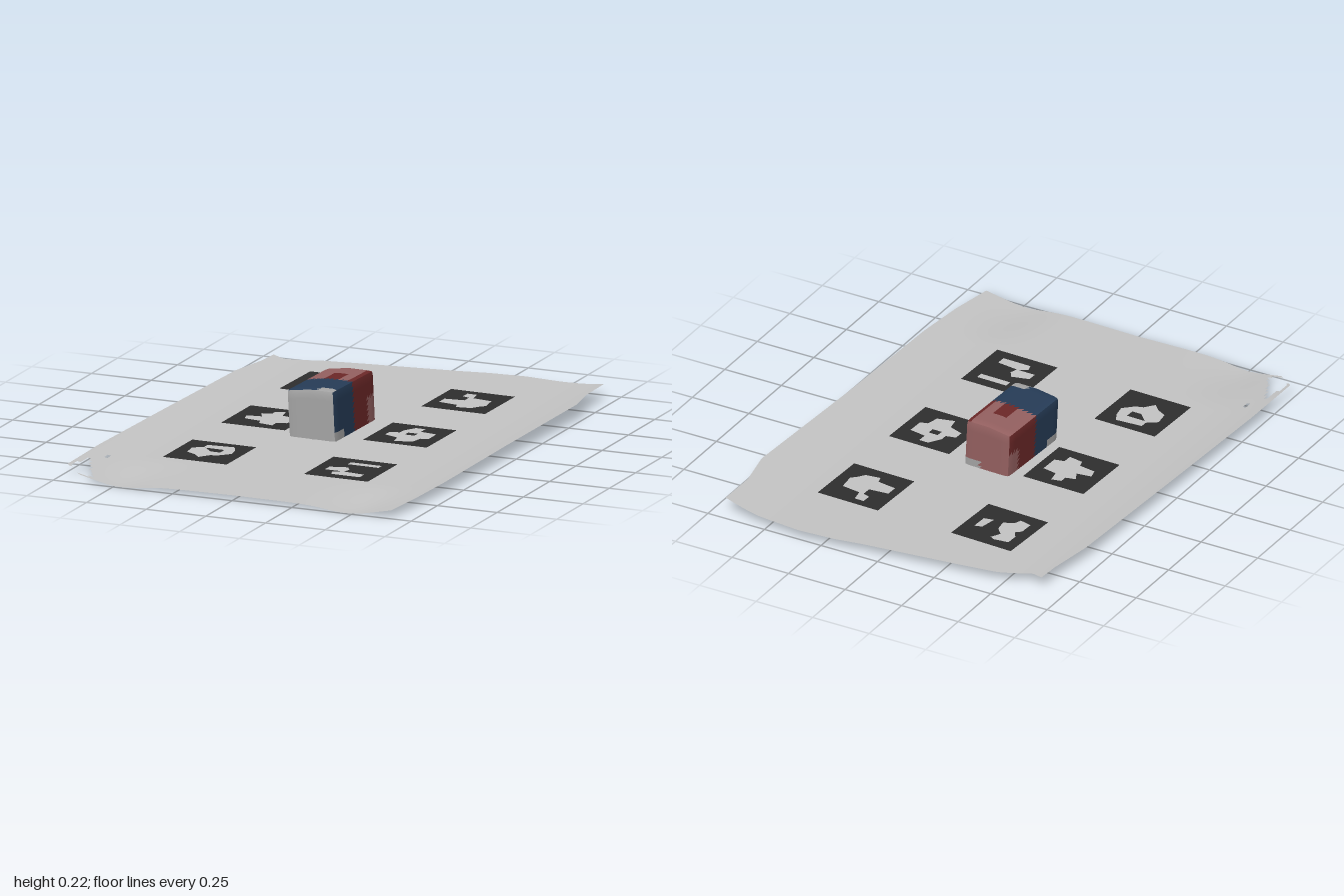
import * as THREE from 'three';

const flat = (name, color) => {
  const m = new THREE.MeshStandardMaterial({ color, side: THREE.DoubleSide });
  m.name = name;
  return m;
};

// Piecewise linear lookup through [key, value] pairs
function along(points, t) {
  for (let i = 1; i < points.length; i++) {
    const [a, va] = points[i - 1], [b, vb] = points[i];
    if (t <= b || i === points.length - 1) {
      return THREE.MathUtils.lerp(va, vb, THREE.MathUtils.clamp((t - a) / (b - a), 0, 1));
    }
  }
}

// Outline of the paper sheet
const LEFT = [[-0.96, -0.65], [-0.86, -0.655], [-0.66, -0.685], [0, -0.71], [0.6, -0.73], [0.92, -0.73], [0.99, -0.65]];
const RIGHT = [[-0.96, 0.70], [-0.79, 0.70], [-0.63, 0.73], [0, 0.71], [0.58, 0.70], [0.8, 0.685], [0.99, 0.66]];
const BACK = [[-0.65, -0.87], [-0.6, -0.85], [-0.47, -0.9], [-0.29, -0.925], [0.08, -0.97], [0.2, -0.99], [0.35, -1], [0.55, -0.98], [0.7, -0.95]];
const FRONT = [[-0.66, 0.975], [-0.4, 0.995], [0, 0.985], [0.4, 0.995], [0.66, 0.985]];

// Gentle sag and raised long edges of the paper
function paperHeight(x, z) {
  const edge = Math.max(0, Math.abs(x) - 0.48) / 0.25;
  const dip = Math.exp(-(((Math.abs(x) - 0.48) / 0.12) ** 2)) * THREE.MathUtils.smoothstep(z, 0.62, 0.98);
  return 0.028 - 0.011 * z + 0.027 * edge * edge - 0.017 * dip;
}

const BOX = { x: -0.04, z: -0.045, w: 0.2, d: 0.36, bottom: 0.02, h: 0.205, turn: -0.035 };

// Torn corner of the sheet
const TEAR = [[-0.705, 0.755], [-0.605, 0.96], [-0.655, 0.965], [-0.712, 0.925]];
function insideTear(x, z) {
  let inside = false;
  TEAR.forEach(([xa, za], i) => {
    const [xb, zb] = TEAR[(i + 1) % TEAR.length];
    if ((za > z) !== (zb > z) && x < xa + (xb - xa) * (z - za) / (zb - za)) inside = !inside;
  });
  return inside;
}

function isCutOut(x, z) {
  const underBox = Math.abs(x - BOX.x) < BOX.w / 2 - 0.004 && Math.abs(z - BOX.z) < BOX.d / 2 - 0.004;
  const smallHole = Math.hypot(x + 0.65, z - 0.705) < 0.012;
  return underBox || smallHole || insideTear(x, z);
}

function sheetGeometry(nx = 100, nz = 160) {
  const positions = [], index = [];
  for (let j = 0; j <= nz; j++) {
    const v = j / nz, row = THREE.MathUtils.lerp(-0.96, 0.99, v);
    for (let i = 0; i <= nx; i++) {
      const x = THREE.MathUtils.lerp(along(LEFT, row), along(RIGHT, row), i / nx);
      const z = THREE.MathUtils.lerp(along(BACK, x), along(FRONT, x), v);
      positions.push(x, paperHeight(x, z), z);
    }
  }
  for (let j = 0; j < nz; j++) {
    for (let i = 0; i < nx; i++) {
      const a = j * (nx + 1) + i, b = a + 1, c = a + nx + 1, d = c + 1;
      const x = (positions[a * 3] + positions[d * 3]) / 2;
      const z = (positions[a * 3 + 2] + positions[d * 3 + 2]) / 2;
      if (!isCutOut(x, z)) index.push(a, c, b, b, c, d);
    }
  }
  const g = new THREE.BufferGeometry();
  g.setAttribute('position', new THREE.Float32BufferAttribute(positions, 3));
  g.setIndex(index);
  g.computeVertexNormals();
  return g;
}

// Printed square; cutouts and islands are corner lists in hundredths of a unit
const toPoints = list => list.map(([x, z]) => new THREE.Vector2(x / 100, -z / 100));
function addMarker(group, material, x, z, turn, cutouts, islands = []) {
  const s = 13.5;
  const square = new THREE.Shape(toPoints([[-s, -s], [s, -s], [s, s], [-s, s]]));
  square.holes = cutouts.map(c => new THREE.Path(toPoints(c)));
  const shapes = [square, ...islands.map(i => new THREE.Shape(toPoints(i)))];
  for (const side of [1, -1]) {
    const g = new THREE.ShapeGeometry(shapes);
    g.rotateX(-Math.PI / 2).rotateY(-turn).translate(x, 0, z);
    const p = g.attributes.position;
    for (let i = 0; i < p.count; i++) p.setY(i, paperHeight(p.getX(i), p.getZ(i)) + side * 0.003);
    g.computeVertexNormals();
    const mesh = new THREE.Mesh(g, material);
    mesh.name = side > 0 ? 'markerTop' : 'markerUnderside';
    group.add(mesh);
  }
}

// Colour of a box triangle from its centre and the direction it faces
function boxColour(c, n) {
  const low = c.y < -0.06;
  if (n.z > 0.7) return 'grey';
  if (n.z < -0.7) return low && c.x > 0.03 ? 'grey' : 'pink';
  if (n.y > 0.7) {
    if (c.z > 0.01) return c.z > 0.14 && c.x > 0.03 ? 'grey' : 'blue';
    const darkPatch = (c.x > -0.02 && c.x < 0.045 && c.z > -0.075) || c.x > 0.075;
    return darkPatch ? 'red' : 'pink';
  }
  if (c.z > 0.01) return low && c.z > 0.1 ? 'grey' : 'blue';
  return c.z < -0.11 && c.y < 0.01 ? 'pink' : 'red';
}

// Open-bottomed block with softened edges, split into one mesh per colour
function addBox(group, materials) {
  const { w, h, d } = BOX, r = 0.014;
  const g = new THREE.BoxGeometry(w, h, d, 10, 10, 18);
  const bottom = g.groups[3];
  const kept = Array.from(g.index.array).filter((_, i) => i < bottom.start || i >= bottom.start + bottom.count);
  g.setIndex(kept);
  const p = g.attributes.position, v = new THREE.Vector3(), core = new THREE.Vector3();
  const low = new THREE.Vector3(-w / 2 + r, -h, -d / 2 + r);
  const high = new THREE.Vector3(w / 2 - r, h / 2 - r, d / 2 - r);
  for (let i = 0; i < p.count; i++) {
    v.fromBufferAttribute(p, i);
    core.copy(v).clamp(low, high);
    v.sub(core).setLength(r).add(core);
    p.setXYZ(i, v.x, v.y, v.z);
  }
  g.computeVertexNormals();

  const flatG = g.toNonIndexed(), fp = flatG.attributes.position, fn = flatG.attributes.normal;
  const parts = {};
  const tri = new THREE.Triangle(), centre = new THREE.Vector3(), normal = new THREE.Vector3();
  for (let i = 0; i < fp.count; i += 3) {
    tri.setFromAttributeAndIndices(fp, i, i + 1, i + 2);
    tri.getMidpoint(centre);
    tri.getNormal(normal);
    const part = (parts[boxColour(centre, normal)] ??= { position: [], normal: [] });
    for (let k = i; k < i + 3; k++) {
      // Lean to the left, with a slightly lower left edge
      const t = fp.getY(k) / h + 0.5, x = fp.getX(k);
      part.position.push(x - 0.01 * t, fp.getY(k) - 0.014 * t * Math.max(0, -x / (w / 2)), fp.getZ(k));
      part.normal.push(fn.getX(k), fn.getY(k), fn.getZ(k));
    }
  }
  for (const [colour, data] of Object.entries(parts)) {
    const pg = new THREE.BufferGeometry();
    pg.setAttribute('position', new THREE.Float32BufferAttribute(data.position, 3));
    pg.setAttribute('normal', new THREE.Float32BufferAttribute(data.normal, 3));
    const mesh = new THREE.Mesh(pg, materials[colour]);
    mesh.name = colour + 'BoxFaces';
    group.add(mesh);
  }
  group.position.set(BOX.x, BOX.bottom + h / 2, BOX.z);
  group.rotation.y = BOX.turn;
}

export function createModel() {
  const paper = flat('paper', 0xc4c4c4);
  const ink = flat('ink', 0x2e2e2e);
  const boxMaterials = {
    grey: flat('boxGrey', 0xa4a4a4),
    blue: flat('boxBlue', 0x263c57),
    red: flat('boxRed', 0x6c2828),
    pink: flat('boxPink', 0x946060),
  };
  const model = new THREE.Group();
  model.name = 'boxOnPrintedSheet';

  const sheet = new THREE.Mesh(sheetGeometry(), paper);
  sheet.name = 'paperSheet';
  model.add(sheet);

  // Six printed squares, back row to front row
  const markers = new THREE.Group();
  markers.name = 'printedMarkers';
  addMarker(markers, ink, -0.307, -0.595, 0.04, [
    [[-9, -8], [-3, -9], [-1, -8], [-3, -4], [0, -1], [1, 4], [-3, 6], [-4, 9], [-9, 8], [-9, 2], [-7, 0], [-9, -3]],
    [[6, -3], [9, -4], [9, 3], [5, 4]]]);
  addMarker(markers, ink, 0.294, -0.577, 0.025, [
    [[-5, -10], [-1, -10], [0, -5], [8, -4], [9, 3], [7, 5], [5, 8], [-1, 9], [-2, 6], [-10, 5], [-10, 0], [-2, -1], [-2, -5], [-5, -6]]]);
  addMarker(markers, ink, -0.32, -0.066, 0.02, [
    [[-1, -9], [3, -10], [4, -5], [10, -4], [10, 4], [6, 5], [6, 9], [0, 8], [-1, 5], [-8, 4], [-9, 0], [-3, -1], [-5, -5], [-1, -6]]]);
  addMarker(markers, ink, 0.28, -0.053, 0.025, [
    [[-2, -10], [2, -10], [2, -6], [9, -5], [9, 2], [6, 3], [5, 8], [-2, 10], [-3, 5], [-9, 3], [-9, -1], [-5, -2], [-5, -5]]],
  [[[-2, -3], [2, -3], [2, 0], [-2, 0]]]);
  addMarker(markers, ink, -0.33, 0.466, 0.02, [
    [[-5, -9], [6, -10], [8, -6], [9, -1], [5, 3], [2, 4], [-1, 8], [-4, 5], [-8, 3], [-9, -3], [-5, -6]]],
  [[[-4, -5], [4, -5], [4, -1], [0, -1]]]);
  addMarker(markers, ink, 0.267, 0.479, 0.02, [
    [[-4, -9], [9, -9], [9, -6], [-4, -6]],
    [[-9, 0], [-2, -2], [0, 1], [-1, 4], [8, 5], [8, 9], [-4, 9], [-5, 6], [-2, 4], [-9, 4]]]);
  model.add(markers);

  const box = new THREE.Group();
  box.name = 'box';
  addBox(box, boxMaterials);
  model.add(box);
  return model;
}
